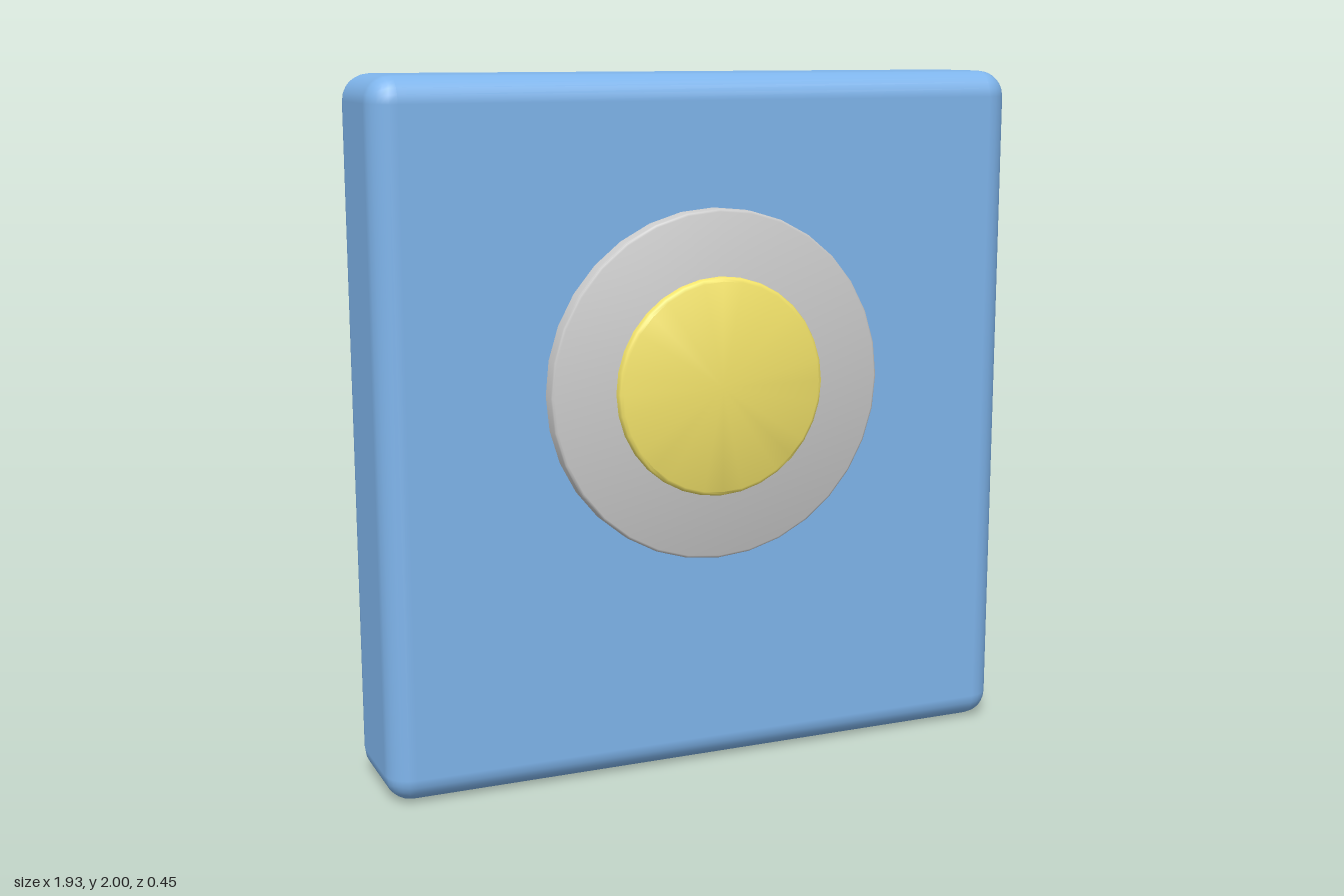
import * as THREE from 'three';
import { RoundedBoxGeometry } from 'three/addons/geometries/RoundedBoxGeometry.js';
import { toCreasedNormals } from 'three/addons/utils/BufferGeometryUtils.js';

const DIAL_Y = 1.13;

// Closed disc with a softened front rim, facing +z from z0 to z1
function disc(name, radius, z0, z1, bevel, color) {
  const h = z1 - z0;
  const profile = [
    [0, 0],
    [radius, 0],
    [radius, h - bevel],
    [radius - bevel * 0.3, h - bevel * 0.3],
    [radius - bevel, h],
    [0, h],
  ].map(([x, y]) => new THREE.Vector2(x, y));
  const geometry = toCreasedNormals(new THREE.LatheGeometry(profile, 32), 0.9);
  geometry.rotateX(Math.PI / 2);
  const mesh = new THREE.Mesh(geometry, new THREE.MeshStandardMaterial({ color }));
  mesh.name = name;
  mesh.position.set(0, DIAL_Y, z0);
  return mesh;
}

export function createModel() {
  const group = new THREE.Group();
  group.name = 'buttonPanel';

  // Thick slab with rounded edges
  const slab = new THREE.Mesh(
    new RoundedBoxGeometry(1.93, 2, 0.375, 3, 0.075),
    new THREE.MeshStandardMaterial({ color: 0x7fb5ec })
  );
  slab.name = 'slab';
  slab.position.set(0, 1, -0.0375);
  group.add(slab);

  // Grey base disc and raised yellow button, each sunk into the part behind it
  group.add(disc('baseDisc', 0.5, 0.1, 0.2, 0.008, 0xcccccc));
  group.add(disc('button', 0.312, 0.15, 0.225, 0.012, 0xf5e56b));

  return group;
}
